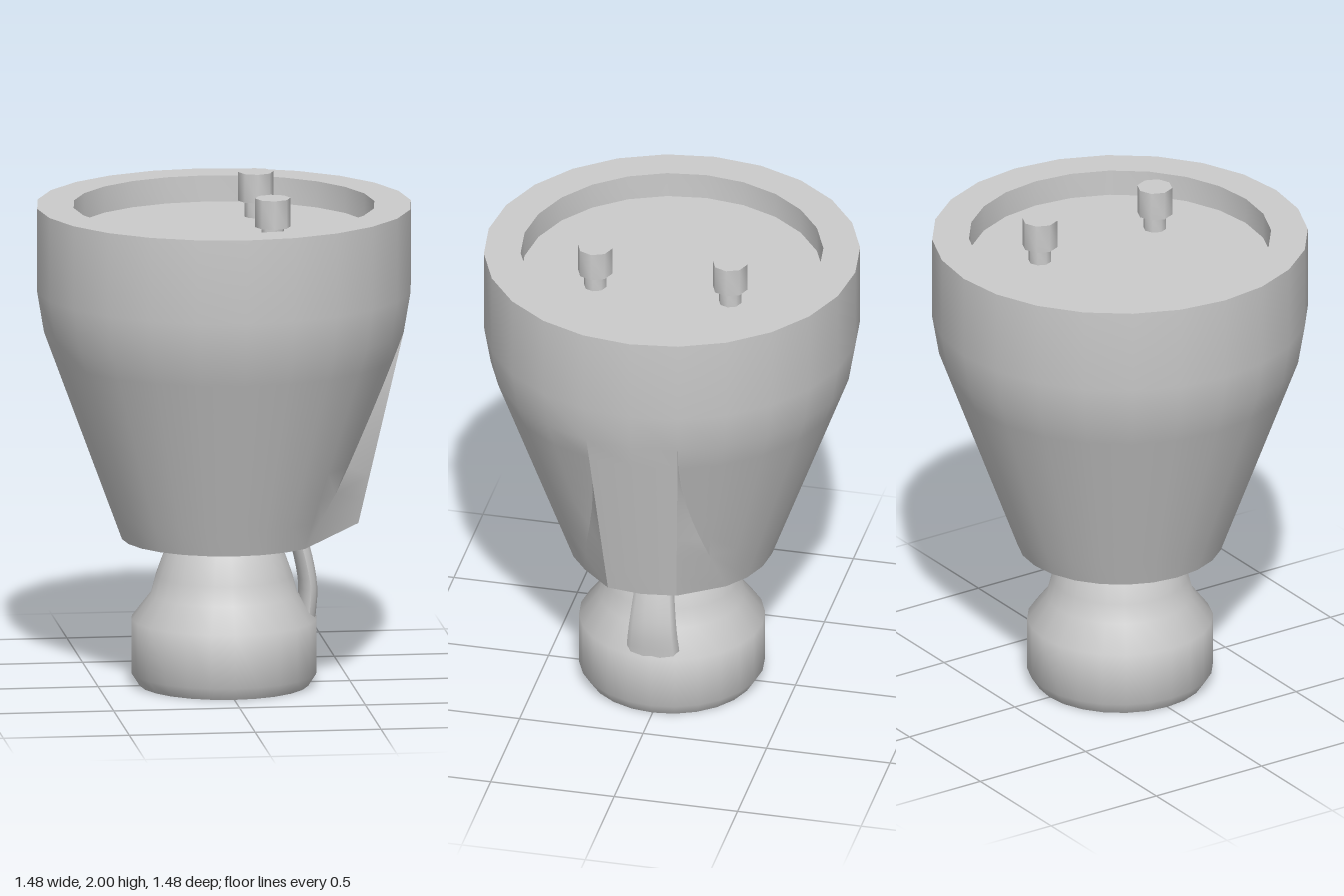
import * as THREE from 'three';
import { toCreasedNormals } from 'three/addons/utils/BufferGeometryUtils.js';

const { lerp, degToRad } = THREE.MathUtils;
const STEP = 15; // degrees per side of the 24-sided bodies

function part(name, geometry, parent) {
  const material = new THREE.MeshStandardMaterial({ color: 0xcccccc, side: THREE.DoubleSide });
  const mesh = new THREE.Mesh(geometry, material);
  mesh.name = name;
  parent.add(mesh);
  return mesh;
}

function lathe(points, sides, crease) {
  const g = new THREE.LatheGeometry(points.map(([r, y]) => new THREE.Vector2(r, y)), sides);
  return toCreasedNormals(g, crease);
}

// Tapered hollow housing; three columns on the +x side are pulled out into a fairing
function housingGeometry() {
  const N = 8;
  const cone = [];
  for (let i = 0; i <= N; i++) {
    const t = i / N;
    cone.push({ r: lerp(0.715, 0.405, t), y: lerp(1.43, 0.59, t), t, inset: 0 });
  }
  const flat = (r, y) => ({ r, y, t: 0, inset: 0 });
  const rows = [
    flat(0, 1.82), flat(0.597, 1.82), flat(0.597, 1.925), flat(0.742, 1.925), flat(0.742, 1.59),
    ...cone,
    ...cone.map((c) => ({ ...c, inset: 0.035 })).reverse(),
    flat(0.7, 1.6), flat(0.7, 1.76), flat(0, 1.76),
  ];

  // Angle where the fairing's side meets the cone
  const seam = (t) => STEP + 30 * t ** 2.2;
  const columns = [];
  for (let k = -12; k < 12; k++) {
    if (k === 2) columns.push((t) => seam(t));
    if (Math.abs(k) === 2) columns.push((t) => Math.sign(k) * Math.max(30, seam(t)));
    else columns.push(() => k * STEP);
    if (k === -2) columns.push((t) => -seam(t));
  }

  const point = (row, column) => {
    const angle = column(row.t);
    let { r, y } = row;
    if (row.t > 0 && Math.abs(angle) <= STEP) {
      r = lerp(0.715, 0.535, row.t);
      y = lerp(1.43, 0.66, row.t);
    } else {
      // keep in-between points on the flat sides
      const off = (Math.abs(angle) % STEP) - STEP / 2;
      r *= Math.cos(degToRad(STEP / 2)) / Math.cos(degToRad(off));
    }
    r -= row.inset;
    const a = degToRad(angle);
    return new THREE.Vector3(r * Math.cos(a), y, r * Math.sin(a));
  };

  const positions = [];
  const triangle = (a, b, c) => {
    if (new THREE.Triangle(a, b, c).getArea() < 1e-7) return;
    for (const p of [a, b, c]) positions.push(p.x, p.y, p.z);
  };
  for (let j = 0; j < rows.length - 1; j++) {
    columns.forEach((column, i) => {
      const next = columns[(i + 1) % columns.length];
      const a = point(rows[j], column), b = point(rows[j], next);
      const c = point(rows[j + 1], column), d = point(rows[j + 1], next);
      triangle(a, b, c);
      triangle(b, d, c);
    });
  }
  const g = new THREE.BufferGeometry();
  g.setAttribute('position', new THREE.Float32BufferAttribute(positions, 3));
  return toCreasedNormals(g, 0.45);
}

// Flattened feed pipe that widens toward its lower end
function pipeGeometry() {
  const path = new THREE.CatmullRomCurve3([
    [0.325, 0.27], [0.333, 0.38], [0.315, 0.5], [0.275, 0.64], [0.22, 0.8],
  ].map(([x, y]) => new THREE.Vector3(x, y, 0)));
  const g = new THREE.TubeGeometry(path, 14, 0.036, 10, false);
  const p = g.attributes.position;
  for (let i = 0; i < p.count; i++) {
    const t = Math.min(1, Math.max(0, (p.getY(i) - 0.28) / 0.38));
    p.setZ(i, p.getZ(i) * lerp(3.0, 1.9, t));
  }
  g.computeVertexNormals();
  return g;
}

export function createModel() {
  const model = new THREE.Group();
  model.name = 'rocketEngine';

  part('housing', housingGeometry(), model);

  // Bell: inner wall down, lip, then outer wall up to the throat and chamber
  part('nozzle', lathe([
    [0, 0.62], [0.15, 0.6], [0.21, 0.48], [0.26, 0.36], [0.33, 0.25], [0.33, 0.05], [0.315, 0],
    [0.335, 0], [0.367, 0.05], [0.367, 0.265], [0.29, 0.365], [0.27, 0.44], [0.245, 0.51],
    [0.21, 0.59], [0.17, 0.65],
  ], 24, 0.75), model);
  part('combustionChamber', lathe([
    [0.15, 0.64], [0.22, 0.665], [0.27, 0.72], [0.29, 0.8], [0.29, 1.1], [0.22, 1.25], [0.22, 1.77],
  ], 24, 0.75), model);

  part('feedPipe', pipeGeometry(), model);

  // Mounting pins in the top recess
  for (const z of [-0.273, 0.273]) {
    const pin = lathe([[0, 1.81], [0.045, 1.81], [0.045, 1.885], [0.07, 1.885], [0.07, 2], [0, 2]], 8, 0.9);
    part('mountingPin', pin, model).position.set(0.16, 0, z);
  }
  return model;
}
